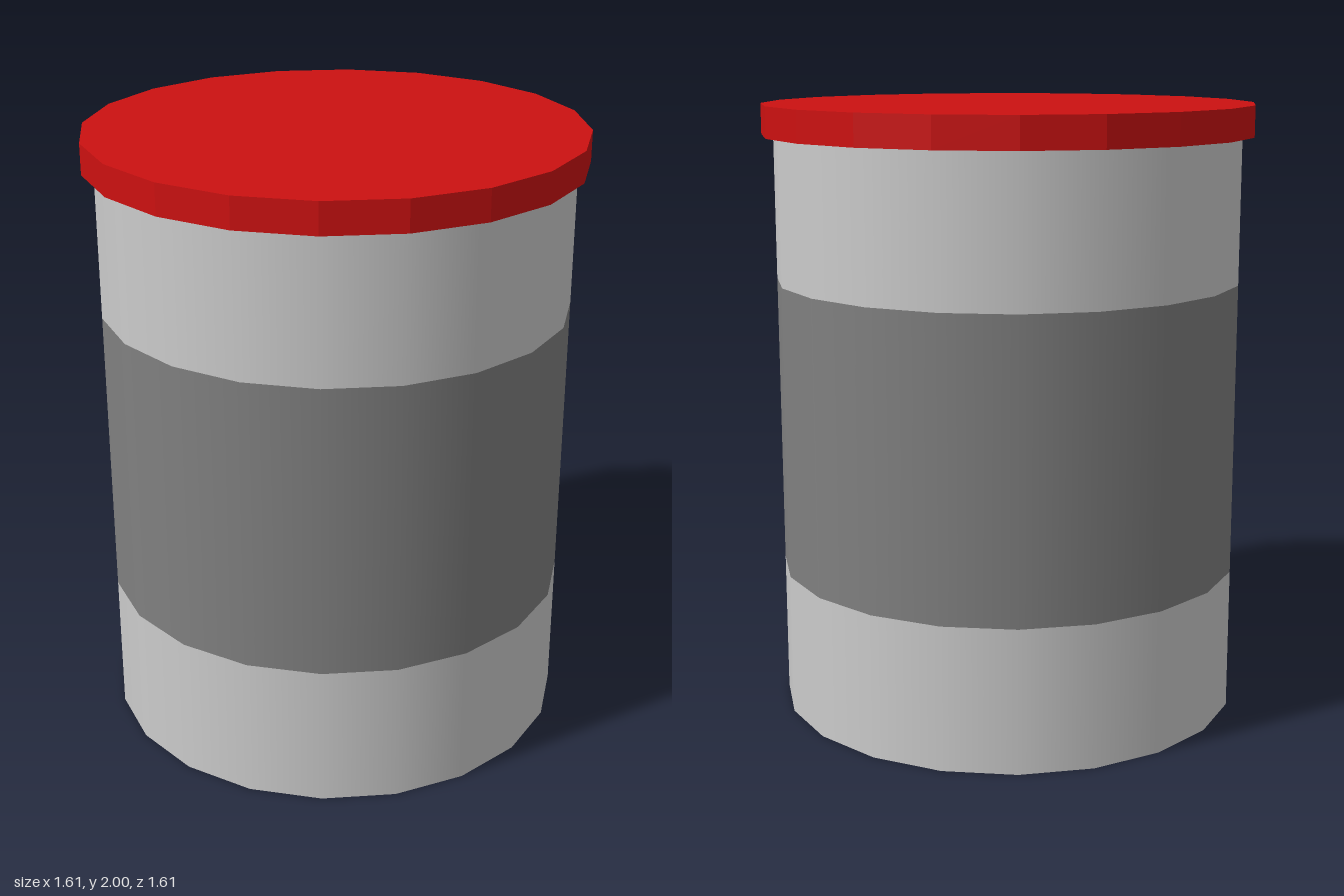
import * as THREE from 'three';

const SIDES = 20;
const BODY_RADIUS = 0.765;
const LID_RADIUS = 0.803;

export function createModel() {
  const model = new THREE.Group();
  model.name = 'canister';

  const grey = new THREE.MeshStandardMaterial({ color: 0xcccccc });
  const darkGrey = new THREE.MeshStandardMaterial({ color: 0x808080 });
  const red = new THREE.MeshStandardMaterial({ color: 0xcc1111, flatShading: true });

  // A 20-sided drum section spanning bottom to top
  function addDrum(name, radius, bottom, top, material, open = false) {
    const geometry = new THREE.CylinderGeometry(radius, radius, top - bottom, SIDES, 1, open);
    const mesh = new THREE.Mesh(geometry, material);
    mesh.name = name;
    mesh.position.y = (bottom + top) / 2;
    model.add(mesh);
  }

  // Smooth body in three flush sections; the outer two close its ends
  addDrum('lowerBody', BODY_RADIUS, 0, 0.47, grey);
  addDrum('labelBand', BODY_RADIUS, 0.47, 1.43, darkGrey, true);
  addDrum('upperBody', BODY_RADIUS, 1.43, 1.9, grey);

  // Faceted overhanging lid
  addDrum('lid', LID_RADIUS, 1.9, 2, red);

  return model;
}
